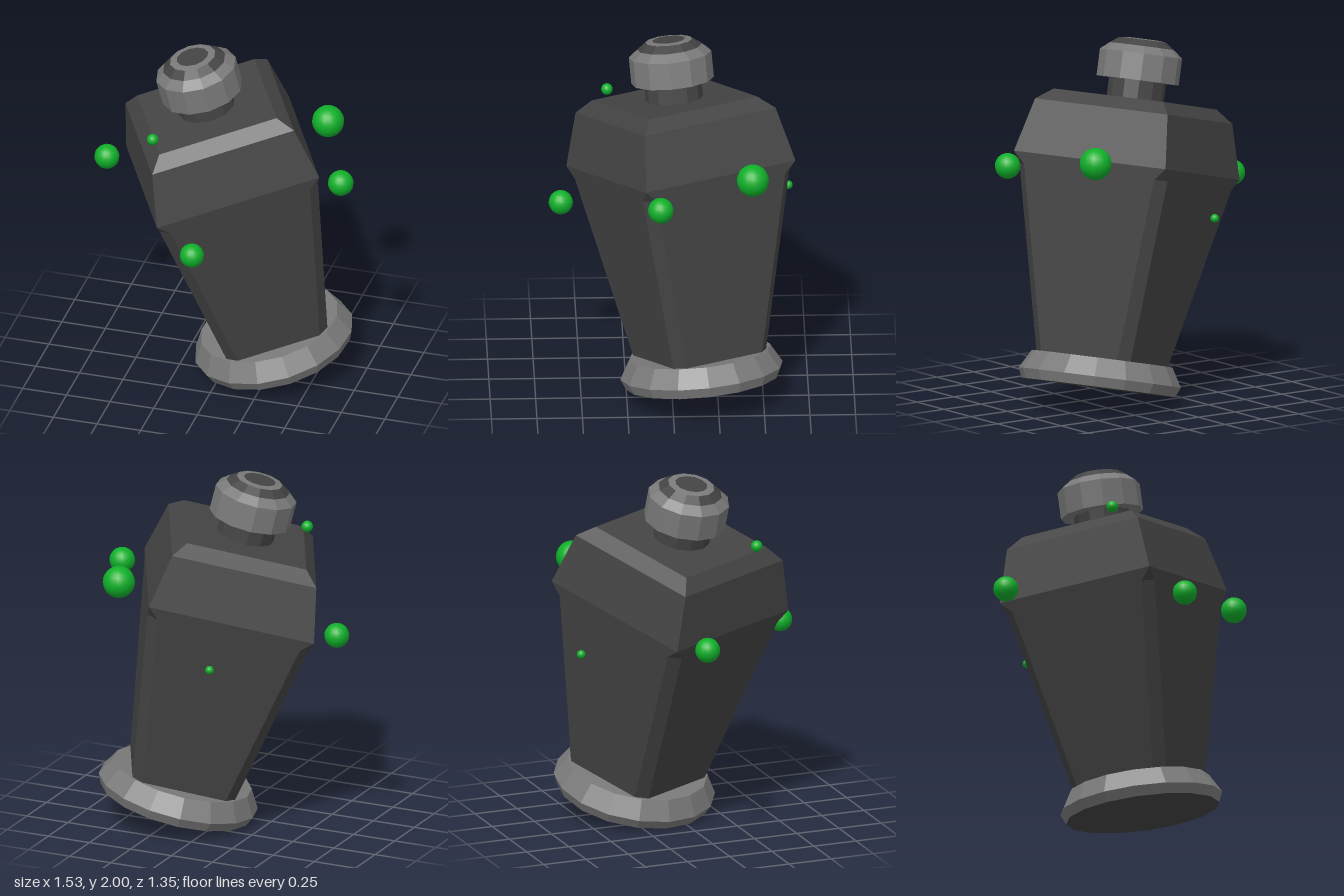
import * as THREE from 'three';

// Gives every facet its own flat normal
function faceted(geometry) {
  const flat = geometry.index ? geometry.toNonIndexed() : geometry;
  flat.computeVertexNormals();
  return flat;
}

// Faceted turned part; profile is [radius, height] pairs from bottom to top
function turned(name, profile, sides, material) {
  const points = profile.map(([r, y]) => new THREE.Vector2(r, y));
  const mesh = new THREE.Mesh(faceted(new THREE.LatheGeometry(points, sides)), material);
  mesh.name = name;
  return mesh;
}

// Square ring with corners cut by c, as eight points
function squareRing([y, a, c]) {
  const ring = [];
  let side = [[c - a, a], [a - c, a]];
  for (let k = 0; k < 4; k++) {
    side.forEach(([x, z]) => ring.push([x, y, z]));
    side = side.map(([x, z]) => [z, -x]);
  }
  return ring;
}

// Skin over a stack of square rings, each [height, half width, corner cut]
function squareLoft(sections) {
  const rings = sections.map(squareRing);
  const positions = [];
  const same = (p, q) => p.every((v, i) => Math.abs(v - q[i]) < 1e-6);
  const triangle = (a, b, c) => {
    if (!same(a, b) && !same(b, c) && !same(a, c)) positions.push(...a, ...b, ...c);
  };
  for (let i = 0; i + 1 < rings.length; i++) {
    for (let j = 0; j < 8; j++) {
      const k = (j + 1) % 8;
      const [a, b, c, d] = [rings[i][j], rings[i][k], rings[i + 1][k], rings[i + 1][j]];
      triangle(a, b, c);
      triangle(a, c, d);
    }
  }
  const geometry = new THREE.BufferGeometry();
  geometry.setAttribute('position', new THREE.Float32BufferAttribute(positions, 3));
  return faceted(geometry);
}

export function createModel() {
  const dark = new THREE.MeshStandardMaterial({ color: 0x444444 });
  dark.name = 'dark glass';
  const grey = new THREE.MeshStandardMaterial({ color: 0x7a7a7a });
  grey.name = 'grey metal';
  const green = new THREE.MeshStandardMaterial({ color: 0x10b02a });
  green.name = 'green';

  const model = new THREE.Group();
  model.name = 'tiltedBottle';

  // Bottle, built upright around its own axis and then tilted
  const bottle = new THREE.Group();
  bottle.name = 'bottle';
  const up = new THREE.Vector3(-0.222, 0.971, 0.09).normalize();
  const across = new THREE.Vector3(0.706, 0.198, -0.364);
  across.addScaledVector(up, -across.dot(up)).normalize();
  const forward = new THREE.Vector3().crossVectors(across, up);
  bottle.quaternion.setFromRotationMatrix(new THREE.Matrix4().makeBasis(across, up, forward));
  bottle.position.set(0.241, 0.159, -0.161);
  model.add(bottle);

  // Tapered body with cut lower corners and a bevelled shoulder
  const body = new THREE.Mesh(squareLoft([
    [0.06, 0.283, 0.055],
    [1.11, 0.456, 0.055],
    [1.175, 0.467, 0],
    [1.475, 0.408, 0],
    [1.542, 0.337, 0],
    [1.542, 0, 0],
  ]), dark);
  body.name = 'body';
  bottle.add(body);

  // Round foot with a dark underside
  bottle.add(
    turned('foot', [[0.425, -0.055], [0.45, 0], [0.39, 0.105], [0, 0.105]], 16, grey),
    turned('footUnderside', [[0, -0.055], [0.425, -0.055]], 16, dark),
  );

  // Neck and stopper, with dark rings on the stopper
  bottle.add(
    turned('neck', [[0.158, 1.53], [0.158, 1.66]], 12, dark),
    turned('stopper', [[0, 1.645], [0.228, 1.645], [0.228, 1.793], [0.178, 1.835]], 12, grey),
    turned('stopperDarkRing', [[0.178, 1.835], [0.13, 1.87]], 12, dark),
    turned('stopperRim', [[0.13, 1.87], [0.09, 1.875]], 12, grey),
    turned('stopperTop', [[0.09, 1.875], [0, 1.875]], 12, dark),
  );

  // Floating beads: x, y, z, radius
  const beads = new THREE.Group();
  beads.name = 'beads';
  const ball = new THREE.SphereGeometry(1, 16, 12);
  [
    [-0.7, 1.19, -0.11, 0.069],
    [0, 1.08, 0.605, 0.067],
    [0.695, 1.36, 0.075, 0.071],
    [-0.303, 1.62, 0.343, 0.032],
    [0.47, 1.427, -0.437, 0.089],
    [-0.184, 1.08, -0.65, 0.024],
  ].forEach(([x, y, z, r]) => {
    const bead = new THREE.Mesh(ball, green);
    bead.name = 'bead';
    bead.position.set(x, y, z);
    bead.scale.setScalar(r);
    beads.add(bead);
  });
  model.add(beads);

  return model;
}
